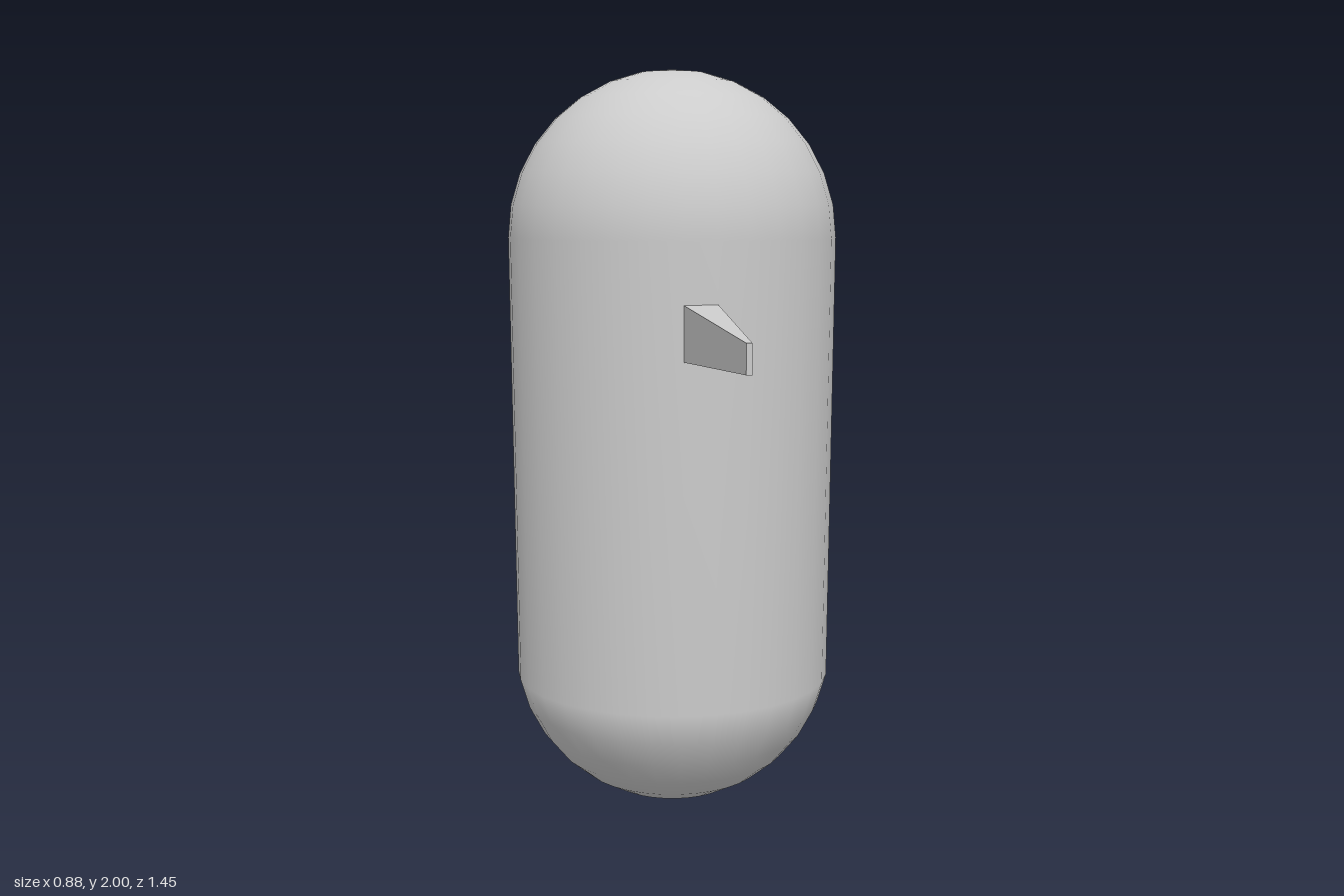
import * as THREE from 'three';

const grey = () => new THREE.MeshStandardMaterial({ color: 0xcccccc });

// Capsule body: two spherical caps joined by a very slightly tapered wall
function makeBody() {
  const r = 0.44, lowCentre = 0.44, highCentre = 1.56, rings = 8;
  const profile = [];
  for (let i = 0; i < rings; i++) {
    const a = -Math.PI / 2 + (i / rings) * Math.PI / 2;
    profile.push(new THREE.Vector2(i === 0 ? 0 : r * Math.cos(a), lowCentre + r * Math.sin(a)));
  }
  for (let i = 0; i <= rings; i++) {
    const a = (i / rings) * Math.PI / 2;
    profile.push(new THREE.Vector2(i === rings ? 0 : r * Math.cos(a), highCentre + r * Math.sin(a)));
  }
  const body = new THREE.Mesh(new THREE.LatheGeometry(profile, 32), grey());
  body.name = 'body';
  body.position.z = -0.287;
  return body;
}

// Tapered spike on the front, leaning towards +x; its root is sunk into the body
function makeSpike() {
  const root = { x: [-0.004, 0.086], y: [1.263, 1.407], z: 0.12 };
  const tip = { x: [0.092, 0.105], y: [1.297, 1.365], z: 0.727 };
  const geometry = new THREE.BoxGeometry(1, 1, 1);
  const p = geometry.attributes.position;
  for (let i = 0; i < p.count; i++) {
    const end = p.getZ(i) > 0 ? tip : root;
    p.setXYZ(i, end.x[p.getX(i) > 0 ? 1 : 0], end.y[p.getY(i) > 0 ? 1 : 0], end.z);
  }
  geometry.computeVertexNormals();
  const spike = new THREE.Mesh(geometry, grey());
  spike.material.flatShading = true;
  spike.name = 'spike';
  return spike;
}

export function createModel() {
  const model = new THREE.Group();
  model.name = 'capsuleWithSpike';
  model.add(makeBody(), makeSpike());
  return model;
}
